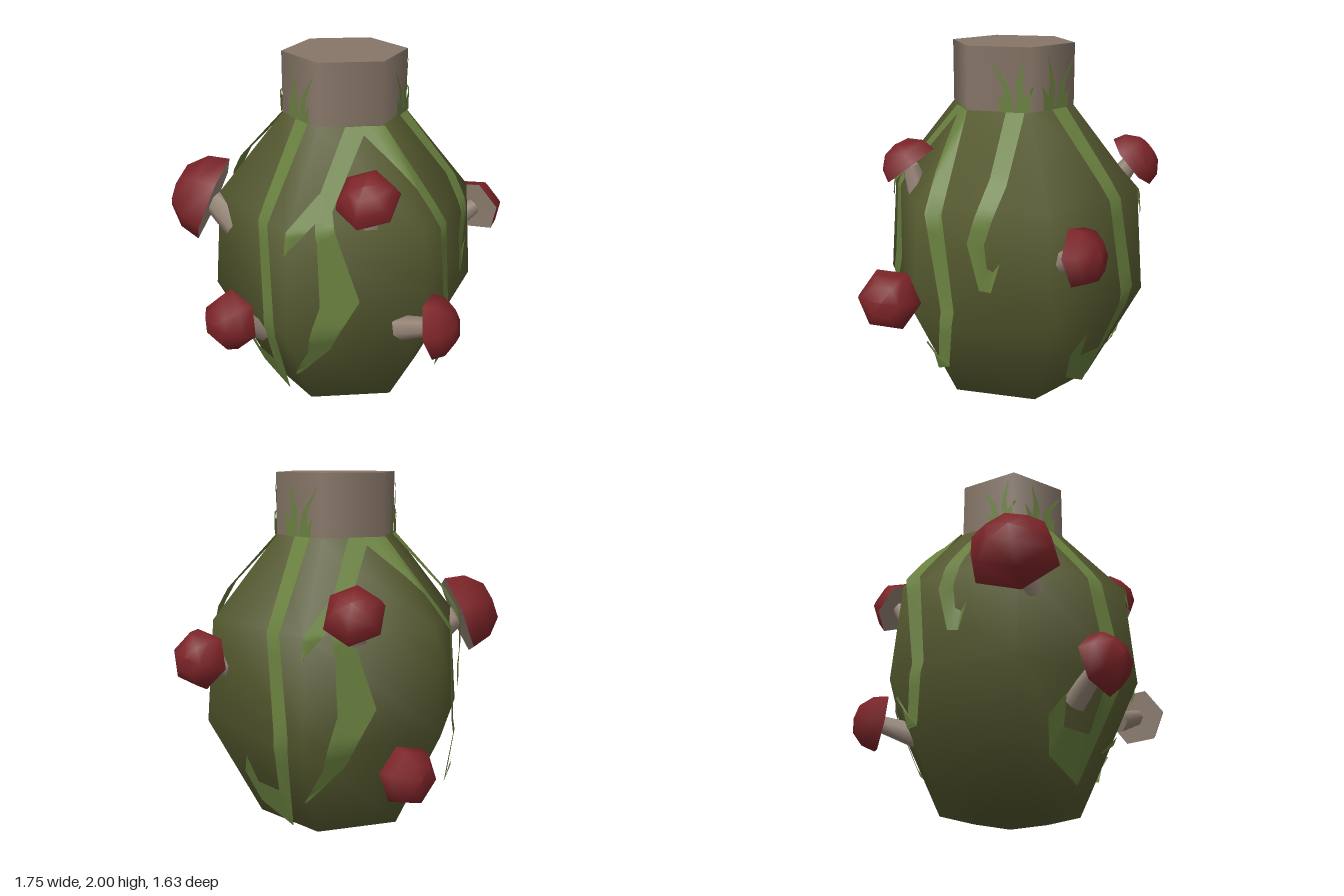
import * as THREE from 'three';

const mat = (name, color, side = THREE.FrontSide) => {
  const m = new THREE.MeshStandardMaterial({ color, side });
  m.name = name;
  return m;
};

export function createModel() {
  const moss = mat('moss green', 0x565a2f);
  const vineGreen = mat('vine green', 0x69803f, THREE.DoubleSide);
  const bark = mat('bark brown', 0x877668);
  const stemTan = mat('stem tan', 0x978678);
  const capRed = mat('cap red', 0x7b2327);

  const root = new THREE.Group();
  root.name = 'mossyPod';
  const core = new THREE.Group();
  core.name = 'pod';
  core.position.set(0.02, 0, -0.03);
  root.add(core);

  const add = (parent, name, geo, material) => {
    const m = new THREE.Mesh(geo, material);
    m.name = name;
    parent.add(m);
    return m;
  };

  // Six-sided bulb: radius, height
  const profile = [[0, 0], [0.23, 0], [0.455, 0.07], [0.75, 0.64], [0.705, 1.21], [0.34, 1.665]];
  const lathe = (pts) => new THREE.LatheGeometry(pts.map(p => new THREE.Vector2(p[0], p[1])), 6);
  add(core, 'body', lathe(profile), moss);

  // Neck stump
  add(core, 'neck', new THREE.CylinderGeometry(0.34, 0.34, 0.335, 6), bark).position.y = 1.8325;

  const radiusAt = (y) => {
    if (y >= 1.665) return 0.34;
    for (let i = 2; i < profile.length; i++) {
      const [r0, y0] = profile[i - 1], [r1, y1] = profile[i];
      if (y <= y1) return r0 + (r1 - r0) * (y - y0) / (y1 - y0);
    }
  };

  // Point on the hexagonal skin seen from heading a, at sideways u and height y
  const onSkin = (a, u, y, off) => {
    const dx = Math.sin(a), dz = Math.cos(a), lx = Math.cos(a), lz = -Math.sin(a);
    const apothem = radiusAt(y) * Math.cos(Math.PI / 6);
    let t = Infinity;
    for (let k = 0; k < 6; k++) {
      const b = Math.PI / 6 + k * Math.PI / 3, nx = Math.sin(b), nz = Math.cos(b);
      const facing = nx * dx + nz * dz;
      if (facing > 0.01) t = Math.min(t, (apothem - u * (nx * lx + nz * lz)) / facing);
    }
    t += off + 0.014;
    return [u * lx + t * dx, y, u * lz + t * dz];
  };

  // Ribbon through rungs [uLeft, yLeft, uRight, yRight, lift]
  const ribbon = (name, a, rungs) => {
    const across = 4, along = 5, pos = [], idx = [];
    const rows = (rungs.length - 1) * along;
    for (let i = 0; i <= rows; i++) {
      const s = Math.min(Math.floor(i / along), rungs.length - 2), f = i / along - s;
      const r = [0, 1, 2, 3, 4].map(k =>
        THREE.MathUtils.lerp(rungs[s][k] || 0, rungs[s + 1][k] || 0, f));
      for (let j = 0; j <= across; j++) {
        const w = j / across;
        pos.push(...onSkin(a, r[0] + (r[2] - r[0]) * w, r[1] + (r[3] - r[1]) * w, r[4]));
        if (i < rows && j < across) {
          const p = i * (across + 1) + j, q = p + across + 1;
          idx.push(p, q, p + 1, p + 1, q, q + 1);
        }
      }
    }
    const g = new THREE.BufferGeometry();
    g.setAttribute('position', new THREE.Float32BufferAttribute(pos, 3));
    g.setIndex(idx);
    g.computeVertexNormals();
    add(core, name, g, vineGreen);
  };

  // Vines: the same set runs down opposite sides
  const frontVines = {
    hookedVine: [[-0.17, 1.665, -0.07, 1.665], [-0.23, 1.2, -0.15, 1.2], [-0.18, 0.68, -0.09, 0.68],
      [-0.19, 0.33, -0.14, 0.09, 0.05], [-0.33, 0.34, -0.34, 0.2, 0.05], [-0.38, 0.5, -0.42, 0.38, 0.04]],
    broadVine: [[0.13, 1.665, 0.23, 1.665], [0.1, 1.35, 0.18, 1.3], [0.14, 1.15, 0.22, 1.2],
      [0.16, 0.8, 0.34, 0.82], [0.08, 0.5, 0.19, 0.52], [-0.05, 0.27, -0.04, 0.27]],
    broadVineHook: [[0.1, 1.38, 0.14, 1.28], [0, 1.22, 0.08, 1.2], [-0.01, 1.08, 0, 1.1]],
  };
  const sideVines = {
    longVine: [[-0.25, 1.665, -0.17, 1.665], [-0.29, 1.2, -0.2, 1.2, 0.05], [-0.21, 0.68, -0.14, 0.68, 0.03],
      [-0.24, 0.34, -0.18, 0.35, 0.13], [-0.25, 0.44, -0.22, 0.4, 0.12], [-0.29, 0.5, -0.28, 0.51, 0.1]],
    curledVine: [[0.04, 1.665, 0.14, 1.665], [0.03, 1.38, 0.12, 1.35, 0.08], [-0.06, 1.07, 0.03, 1.07, 0.07],
      [0, 0.82, 0.04, 0.94, 0.05], [0.06, 0.81, 0.07, 0.92, 0.04], [0.11, 0.98, 0.12, 0.99, 0.05]],
  };
  // Grass blades on the neck: base u, tip u, tip height
  const tuft = (a, u, flip) => {
    for (const [b, mid, tip, h] of [[-0.04, -0.03, -0.06, 1.95], [-0.06, -0.07, -0.1, 1.8],
      [0.02, 0.04, 0.12, 1.93], [0.05, 0.06, 0.08, 1.76]]) {
      const c = v => u + v * flip;
      ribbon('grassBlade', a, [[c(b) - 0.025, 1.665, c(b) + 0.025, 1.665],
        [c(mid) - 0.017, (1.665 + h) / 2, c(mid) + 0.017, (1.665 + h) / 2],
        [c(tip), h, c(tip) + 0.002, h]]);
    }
  };
  for (const turn of [0, Math.PI]) {
    for (const [n, r] of Object.entries(frontVines)) ribbon(n, turn, r);
    for (const [n, r] of Object.entries(sideVines)) ribbon(n, turn + Math.PI / 2, r);
    tuft(turn, -0.14, 1);
    tuft(turn + Math.PI / 2, 0.08, -1);
  }

  // Mushrooms: rim centre, cap axis, stem foot, rim radius, cap height
  const up = new THREE.Vector3(0, 1, 0);
  const mushroom = (rim, axis, foot, r, h) => {
    const g = new THREE.Group();
    g.name = 'mushroom';
    root.add(g);
    const R = new THREE.Vector3(...rim), F = new THREE.Vector3(...foot);
    const q = new THREE.Quaternion().setFromUnitVectors(up, new THREE.Vector3(...axis).normalize());
    const cap = add(g, 'cap', lathe([[r, 0], [r * 0.88, h * 0.5], [r * 0.5, h * 0.9], [0, h]]), capRed);
    const gills = add(g, 'gills', lathe([[0, 0.002], [r, 0]]), stemTan);
    for (const m of [cap, gills]) {
      m.position.copy(R);
      m.quaternion.copy(q);
    }
    const dir = R.clone().sub(F), len = dir.length();
    const stem = add(g, 'stem', new THREE.CylinderGeometry(r * 0.28, r * 0.4, len, 6), stemTan);
    stem.position.copy(R).add(F).multiplyScalar(0.5);
    stem.quaternion.setFromUnitVectors(up, dir.normalize());
  };
  mushroom([-0.63, 1.16, 0.33], [-0.9, 0.38, 0.3], [-0.48, 1.04, 0.32], 0.25, 0.23);
  mushroom([-0.33, 0.62, 0.65], [-0.23, 0.15, 0.95], [-0.25, 0.48, 0.47], 0.17, 0.16);
  mushroom([0.37, 1.36, 0.45], [0.05, 0.8, 0.6], [0.36, 1.22, 0.41], 0.17, 0.14);
  mushroom([0.735, 0.73, 0.45], [0.96, 0.22, -0.06], [0.54, 0.65, 0.4], 0.17, 0.14);
  mushroom([0.645, 1.02, -0.52], [0.29, 0.2, -0.93], [0.55, 0.95, -0.41], 0.165, 0.14);
  mushroom([-0.22, 1.31, -0.67], [-0.05, 0.65, -0.75], [-0.21, 1.19, -0.58], 0.165, 0.14);
  mushroom([-0.47, 0.47, -0.56], [-0.68, 0.12, -0.7], [-0.37, 0.41, -0.4], 0.165, 0.15);

  return root;
}
